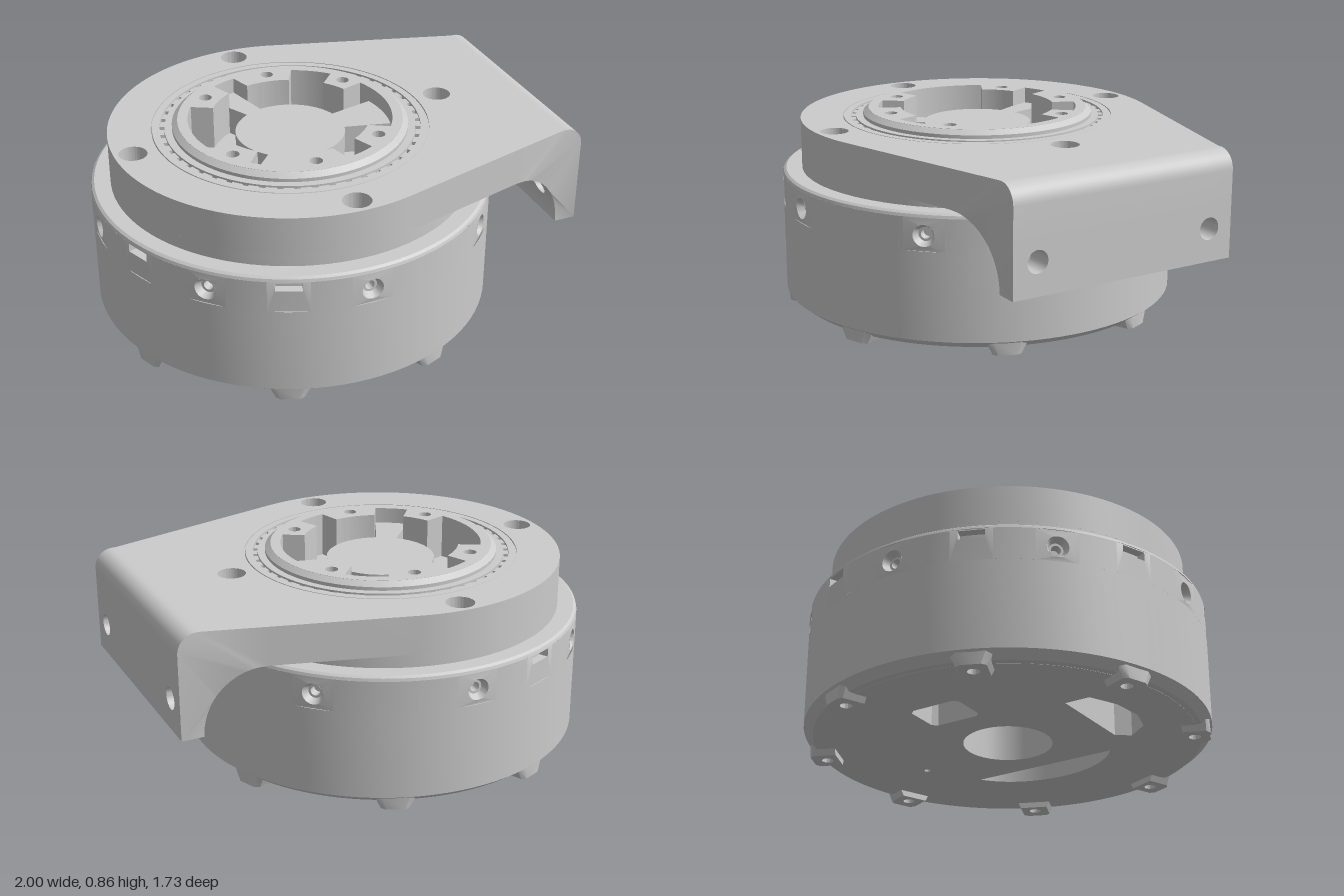
import * as THREE from 'three';
import { toCreasedNormals } from 'three/addons/utils/BufferGeometryUtils.js';

const CX = -0.135, R = 0.865, rad = THREE.MathUtils.degToRad;
const material = new THREE.MeshStandardMaterial({ color: 0xcccccc, side: THREE.DoubleSide });

function add(parent, name, geometry, crease = 0.5) {
  const mesh = new THREE.Mesh(toCreasedNormals(geometry, crease), material);
  mesh.name = name;
  parent.add(mesh);
  return mesh;
}
const v2 = (x, y) => new THREE.Vector2(x, y);
const lathe = (pts, seg = 96) => new THREE.LatheGeometry(pts.map(p => v2(...p)), seg);
// Plan coordinates: angle runs from +x towards +z
const polar = (deg, r) => v2(r * Math.cos(rad(deg)), -r * Math.sin(rad(deg)));
const circle = (r, c = v2(0, 0)) => new THREE.Shape().absarc(c.x, c.y, r, 0, Math.PI * 2);
// Polar outline whose radius is a rule of the angle
function outline(rule) {
  const pts = [];
  for (let a = 0; a < 360; a += 1.5) pts.push(polar(a, rule(a)));
  return new THREE.Shape(pts);
}
// Plan shape extruded upward from y0 to y1
function slab(shape, holes, y0, y1) {
  shape.holes.push(...holes);
  const g = new THREE.ExtrudeGeometry(shape, { depth: y1 - y0, bevelEnabled: false, curveSegments: 48 });
  return g.rotateX(-Math.PI / 2).translate(0, y0, 0);
}
const within = (a, ranges) => ranges.some(([lo, hi]) => a >= lo && a <= hi);

// Housing wall: plain bands with drilled and slotted panels between them
function buildHousing(core) {
  const y0 = 0.44, y1 = 0.58, half = 0.1;
  add(core, 'housingLower', lathe([[0.79, 0.025], [0.825, 0.028], [R, 0.06], [R, y0]]));
  add(core, 'housingShoulder', lathe([[R, y1], [R - 0.004, 0.592], [0.85, 0.6], [0.55, 0.6]]));
  const slots = [1, 5, 7, 6, 4].map(k => [null, 67.5, null, null, -157.5, -112.5, -67.5, -22.5][k]);
  for (let i = 0; i < 16; i++) {
    const deg = i * 22.5 > 180 ? i * 22.5 - 360 : i * 22.5, a = rad(deg);
    const isScrew = i % 2 === 0, isSlot = slots.includes(deg);
    add(core, 'housingBand', new THREE.CylinderGeometry(R, R, y1 - y0, 8, 1, true, a + half, Math.PI / 8 - 2 * half)
      .translate(0, (y0 + y1) / 2, 0));
    if (!isScrew && !isSlot) {
      add(core, 'housingBand', new THREE.CylinderGeometry(R, R, y1 - y0, 6, 1, true, a - half, 2 * half)
        .translate(0, (y0 + y1) / 2, 0));
      continue;
    }
    const w = half * R, s = new THREE.Shape([v2(-w, y0), v2(w, y0), v2(w, y1), v2(-w, y1)]);
    s.holes.push(isScrew ? circle(0.046, v2(0, 0.505))
      : new THREE.Path([v2(-0.055, 0.537), v2(-0.055, 0.574), v2(0.055, 0.574), v2(0.055, 0.537)]));
    const g = isScrew ? new THREE.ShapeGeometry(s, 12)
      : new THREE.ExtrudeGeometry(s, { depth: 0.04, bevelEnabled: false }).translate(0, 0, -0.04);
    const p = g.attributes.position;
    for (let k = 0; k < p.count; k++) {
      const t = a + p.getX(k) / R, r = R + p.getZ(k);
      p.setXYZ(k, r * Math.sin(t), p.getY(k), r * Math.cos(t));
    }
    g.computeVertexNormals();
    add(core, isScrew ? 'screwPanel' : 'slotPanel', g);
    if (isScrew) {
      const cup = lathe([[0, -0.07], [0.02, -0.07], [0.02, -0.03], [0.03, -0.03], [0.046, 0]], 24);
      add(core, 'sideScrewHole', cup.rotateX(Math.PI / 2).translate(0, 0.505, R).rotateY(a));
    } else {
      add(core, 'slotBack', new THREE.CylinderGeometry(R - 0.04, R - 0.04, 0.06, 6, 1, true, a - 0.08, 0.16)
        .translate(0, 0.555, 0));
    }
  }
}

// Underside plate with cable windows, and eight screwed feet
function buildBase(core) {
  // window corners given along (u, v), turned 45 degrees from the main axes
  const uv = (u, v) => v2((v - u) / Math.SQRT2, -(v + u) / Math.SQRT2);
  const win = pts => new THREE.Path(pts.map(p => uv(...p)));
  const arcPts = [];
  for (let a = 28; a <= 152; a += 4) arcPts.push([0.375 * Math.cos(rad(a)), 0.3 + 0.3 * (Math.sin(rad(a)) - 0.47)]);
  const holes = [
    circle(0.19),
    win([[-0.14, -0.5], [0.05, -0.5], [0.07, -0.48], [0.07, -0.34], [0.05, -0.32], [-0.14, -0.32], [-0.16, -0.34], [-0.16, -0.48]]),
    win([[0.42, -0.24], [0.53, -0.24], [0.59, -0.12], [0.61, 0.02], [0.58, 0.13], [0.49, 0.2], [0.43, 0.16]]),
    win(arcPts),
    circle(0.014, uv(-0.47, 0.08)),
  ];
  add(core, 'basePlate', slab(circle(0.8), holes, 0.025, 0.3));
  add(core, 'baseCeiling', new THREE.CylinderGeometry(0.78, 0.78, 0.02, 64).translate(0, 0.31, 0));
  add(core, 'innerBlock', new THREE.BoxGeometry(0.1, 0.14, 0.1).rotateY(Math.PI / 4).translate(0.05, 0.23, 0.06));
  for (let i = 0; i < 8; i++) {
    const s = new THREE.Shape([v2(-0.06, -0.05), v2(-0.04, -0.065), v2(0.04, -0.065), v2(0.06, -0.05), v2(0.06, 0.05), v2(-0.06, 0.05)]);
    const g = slab(s, [circle(0.025)], 0, 0.06), p = g.attributes.position;
    for (let k = 0; k < p.count; k++) {
      if (Math.abs(p.getX(k)) > 0.03) p.setX(k, p.getX(k) * (1 + 8 * p.getY(k)));
    }
    g.computeVertexNormals();
    add(core, 'foot', g.translate(0, 0, 0.79).rotateY(rad(22.5 + 45 * i)));
  }
}

// Mounting plate, bearing and pocketed output hub
function buildTop(core) {
  const bolts = r => [0, 90, 180, 270].map(a => circle(r, polar(a, 0.7)));
  add(core, 'lowerRing', slab(circle(0.78), [circle(0.595), ...bolts(0.03)], 0.59, 0.655));
  const plate = new THREE.Shape().moveTo(0.785, -0.591).lineTo(0.785, 0.591);
  plate.absarc(0, 0, 0.78, rad(74.4), rad(285.6), false);
  add(core, 'mountingPlate', slab(plate, [circle(0.595), ...bolts(0.06)], 0.655, 0.82));

  add(core, 'bearing', lathe([[0.505, 0.78], [0.505, 0.82], [0.537, 0.82], [0.537, 0.79], [0.558, 0.79], [0.558, 0.82],
    [0.59, 0.82], [0.592, 0.812], [0.596, 0.812]].reverse()));
  for (let i = 0; i < 48; i++) {
    add(core, 'bearingRoller', new THREE.BoxGeometry(0.02, 0.025, 0.045).translate(0.5475, 0.8, 0).rotateY(i * Math.PI / 24));
  }
  add(core, 'hubRim', lathe([[0.505, 0.78], [0.505, 0.835], [0.48, 0.855]]));
  const lands = [[214, 240], [257, 291], [317, 337], [37, 60], [80, 113], [134, 156]];
  const spokes = [[0, 15], [345, 360], [113, 134], [240, 257]];
  const pocket = outline(a => within(a, lands) ? 0.34 : 0.437);
  const screws = [47, 97, 147, 227, 277, 327].map(a => circle(0.028, polar(a, 0.408)));
  add(core, 'hub', slab(circle(0.481), [pocket, ...screws], 0.66, 0.855));
  add(core, 'hubSpider', slab(outline(a => within(a, spokes) ? 0.437 : 0.235), [], 0.65, 0.785));
  add(core, 'hubFloor', new THREE.CylinderGeometry(0.5, 0.5, 0.02, 64).translate(0, 0.65, 0));
}

// Tapered arm ending in a drilled, downturned flange
function buildArm(group) {
  const holeR = 0.047, holeZ = 0.41, holeY = 0.51;
  const width = x => 0.591 - 0.071 * Math.min(1, (x - 0.65) / 0.255);
  const filletX = y => 0.65 + 0.255 * Math.sqrt(Math.max(0, 1 - ((y - 0.37) / 0.285) ** 2));
  const path = [[0.65, 0.82], [0.905, 0.82]];
  for (let i = 0; i <= 10; i++) {
    const a = i * Math.PI / 20;
    path.push([0.92 + 0.08 * Math.sin(a), 0.74 + 0.08 * Math.cos(a)]);
  }
  const holeRows = [];
  for (let i = 0; i <= 16; i++) holeRows.push(holeY + holeR * Math.cos(i * Math.PI / 16));
  holeRows.forEach(y => path.push([1, y]));
  path.push([1, 0.37], [0.905, 0.37]);
  [0.39, 0.41, 0.435, ...holeRows.reverse(), 0.575, 0.6, 0.62, 0.635, 0.645, 0.651, 0.655].forEach(y => path.push([filletX(y), y]));

  // skin: strips across z, leaving the two holes open
  const pos = [];
  const columns = ([x, y]) => {
    const h = Math.sqrt(Math.max(0, holeR ** 2 - (y - holeY) ** 2)), w = width(x);
    return [-w, -holeZ - h, -holeZ + h, holeZ - h, holeZ + h, w].map(z => [x, y, z]);
  };
  for (let i = 0; i + 1 < path.length; i++) {
    const a = columns(path[i]), b = columns(path[i + 1]);
    const inHole = Math.abs((path[i][1] + path[i + 1][1]) / 2 - holeY) < holeR && Math.abs(path[i][1] - path[i + 1][1]) < 0.02;
    for (let c = 0; c < 5; c++) {
      if (inHole && c % 2 === 1) continue;
      pos.push(...a[c], ...a[c + 1], ...b[c + 1], ...a[c], ...b[c + 1], ...b[c]);
    }
  }
  const skin = new THREE.BufferGeometry();
  skin.setAttribute('position', new THREE.Float32BufferAttribute(pos, 3));
  skin.computeVertexNormals();
  add(group, 'armSkin', skin);

  for (const side of [1, -1]) {
    // tapered side face
    const pts = path.map(p => v2(...p));
    const face = new THREE.ShapeGeometry(new THREE.Shape(pts)), p = face.attributes.position;
    for (let k = 0; k < p.count; k++) p.setZ(k, side * width(p.getX(k)));
    if (side < 0) face.index.array.reverse();
    face.computeVertexNormals();
    add(group, 'armSide', face);
    // hole wall running back to the fillet
    const wall = new THREE.CylinderGeometry(holeR, holeR, 1, 32, 1, true).rotateZ(-Math.PI / 2).translate(0, holeY, side * holeZ);
    const q = wall.attributes.position;
    for (let k = 0; k < q.count; k++) q.setX(k, q.getX(k) > 0 ? 1 : filletX(q.getY(k)));
    wall.index.array.reverse();
    wall.computeVertexNormals();
    add(group, 'flangeHole', wall);
  }
}

export function createModel() {
  const model = new THREE.Group();
  const core = new THREE.Group();
  core.name = 'actuator';
  core.position.x = CX;
  const arm = new THREE.Group();
  arm.name = 'bracketArm';
  model.add(core, arm);
  buildHousing(core);
  buildBase(core);
  buildTop(core);
  buildArm(arm);
  return model;
}
